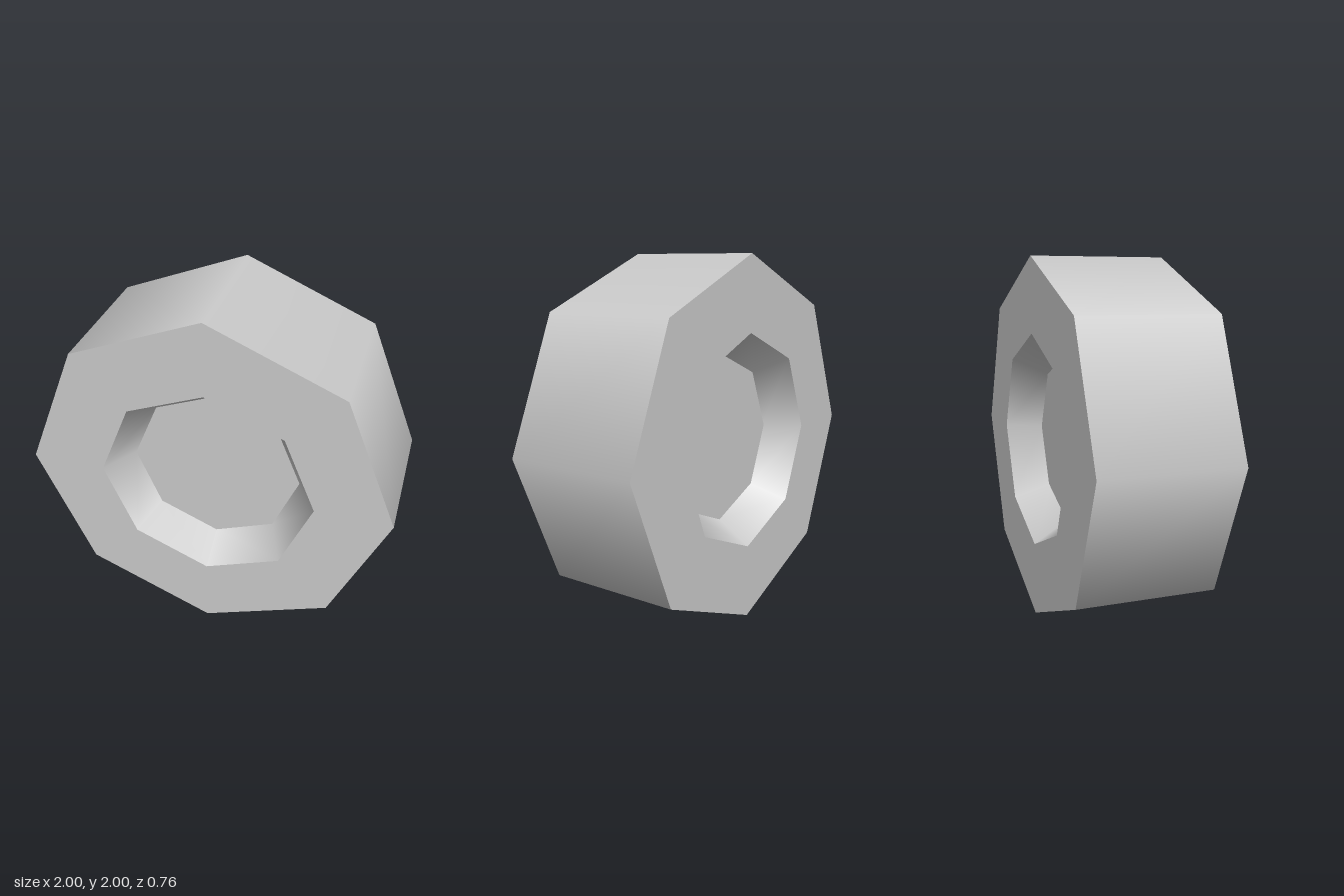
import * as THREE from 'three';

const SIDES = 8;
const HALF_WIDTH = 0.38, OUTER = 1, RIM = 0.59, HUB = 0.47, HUB_Z = 0.19;

export function createModel() {
  const wheel = new THREE.Group();
  wheel.name = 'wheel';
  const material = new THREE.MeshStandardMaterial({ color: 0xcccccc });

  // One band of the wheel, swept around the z axis between two (radius, z) points.
  // Separate bands keep the edges between them sharp and the sweep smooth.
  function band(name, from, to) {
    const profile = [new THREE.Vector2(...from), new THREE.Vector2(...to)];
    const geometry = new THREE.LatheGeometry(profile, SIDES).rotateX(Math.PI / 2);
    const mesh = new THREE.Mesh(geometry, material);
    mesh.name = name;
    return mesh;
  }

  // Outer running surface
  wheel.add(band('tread', [OUTER, -HALF_WIDTH], [OUTER, HALF_WIDTH]));

  // Side wall, tapered recess and hub disc, the same on both sides
  for (const side of ['front', 'back']) {
    const half = new THREE.Group();
    half.name = side + 'Side';
    half.add(
      band('sideWall', [OUTER, HALF_WIDTH], [RIM, HALF_WIDTH]),
      band('recessWall', [RIM, HALF_WIDTH], [HUB, HUB_Z]),
      band('hubDisc', [HUB, HUB_Z], [0, HUB_Z]),
    );
    if (side === 'back') half.rotation.y = Math.PI;
    wheel.add(half);
  }

  wheel.position.y = OUTER;
  const model = new THREE.Group();
  model.name = 'octagonalWheel';
  model.add(wheel);
  return model;
}
